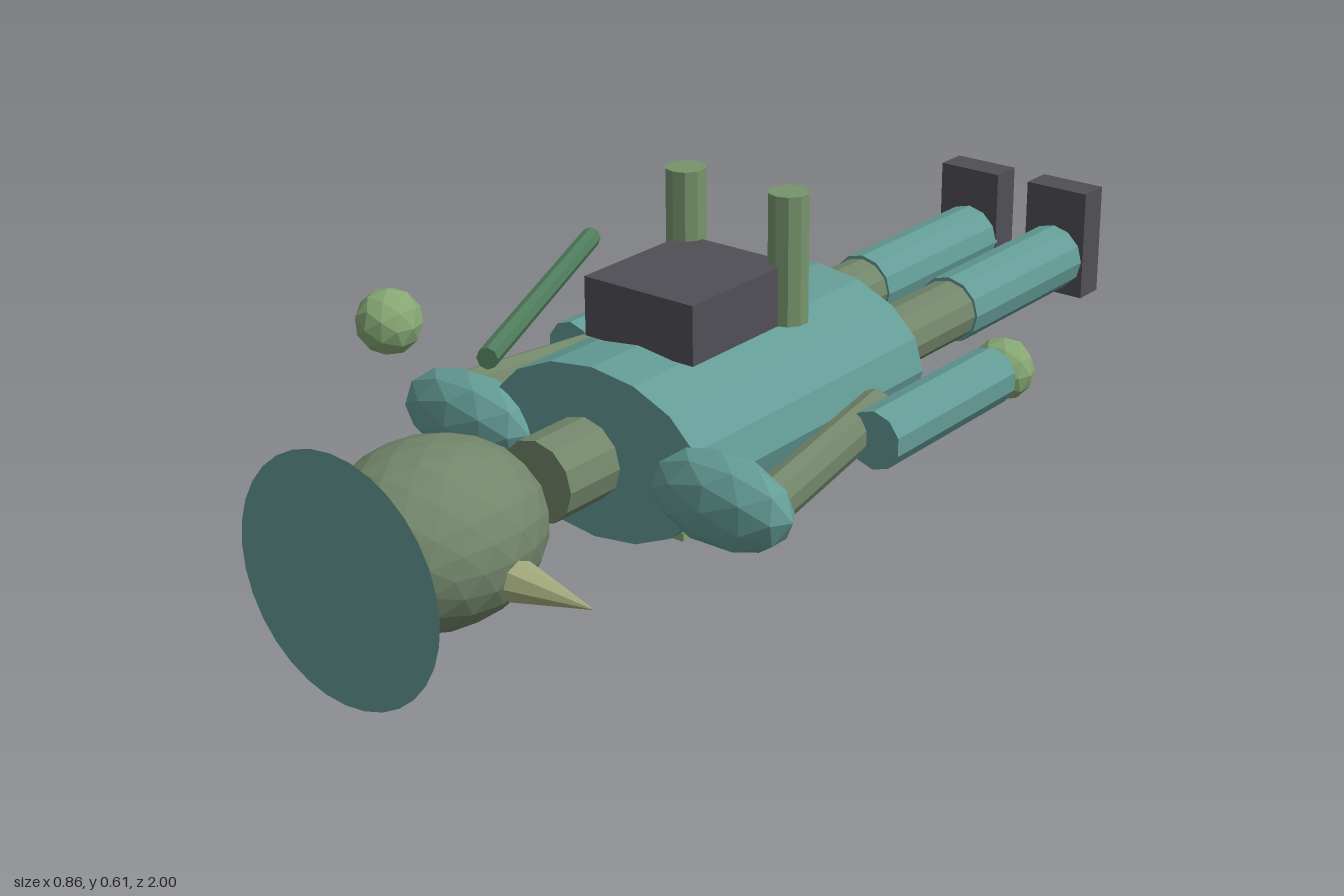
import * as THREE from 'three';

const mat = (color, side = THREE.FrontSide) =>
  new THREE.MeshStandardMaterial({ color, flatShading: true, side });

const TEAL = mat(0x649c96);
const DISC = mat(0x649c96, THREE.DoubleSide);
const SKIN = mat(0x72866a);
const GREEN = mat(0x86a874);
const PIPE = mat(0x76946c);
const STAFF = mat(0x4f7c5c);
const HORN = mat(0xa3aa7c);
const DARK = mat(0x504f56);

export function createModel() {
  const model = new THREE.Group();
  model.name = 'lyingFigure';

  const add = (name, geometry, material, x, y, z) => {
    const mesh = new THREE.Mesh(geometry, material);
    mesh.name = name;
    mesh.position.set(x, y, z);
    model.add(mesh);
    return mesh;
  };

  const box = (name, m, w, h, d, x, y, z) =>
    add(name, new THREE.BoxGeometry(w, h, d), m, x, y, z);

  // Faceted ball with separate radii
  const ball = (name, m, detail, rx, ry, rz, x, y, z) =>
    add(name, new THREE.IcosahedronGeometry(1, detail).scale(rx, ry, rz), m, x, y, z);

  // Cylinder between two points in a horizontal plane, with a flattened section
  const rod = (name, m, rx, ry, sides, [x0, z0], [x1, z1], y) => {
    const length = Math.hypot(x1 - x0, z1 - z0);
    const g = new THREE.CylinderGeometry(1, 1, length, sides)
      .rotateX(Math.PI / 2)
      .scale(rx, ry, 1);
    const mesh = add(name, g, m, (x0 + x1) / 2, y, (z0 + z1) / 2);
    mesh.rotation.y = Math.atan2(x1 - x0, z1 - z0);
    return mesh;
  };

  // Body, neck and head
  rod('torso', TEAL, 0.24, 0.158, 16, [0, -0.25], [0, 0.4], 0.222);
  rod('neck', SKIN, 0.077, 0.075, 12, [0, 0.42], [0, 0.545], 0.22);
  ball('head', SKIN, 3, 0.175, 0.154, 0.2, 0, 0.222, 0.79);
  add('headDisc', new THREE.CircleGeometry(0.216, 32), DISC, 0, 0.218, 0.999);

  // Pack on the upper side, plate floating below
  box('pack', DARK, 0.24, 0.11, 0.276, 0, 0.425, 0.138);
  box('plate', GREEN, 0.17, 0.016, 0.135, 0, 0.033, 0.195);

  // Paired parts
  for (const [side, s] of [['left', 1], ['right', -1]]) {
    const horn = add(side + 'Horn', new THREE.ConeGeometry(0.036, 0.155, 8), HORN, s * 0.275, 0.202, 0.805);
    horn.rotation.z = -s * Math.PI / 2;

    add(side + 'Pipe', new THREE.CylinderGeometry(0.038, 0.038, 0.24, 10), PIPE, s * 0.115, 0.49, 0);

    ball(side + 'Shoulder', TEAL, 1, 0.145, 0.086, 0.063, s * 0.285, 0.218, 0.407);
    rod(side + 'UpperArm', SKIN, 0.035, 0.045, 10, [s * 0.277, -0.045], [s * 0.362, 0.39], 0.22);
    rod(side + 'Forearm', TEAL, 0.055, 0.055, 10, [s * 0.346, -0.315], [s * 0.346, 0.062], 0.22);
    ball(side + 'Hand', GREEN, 1, 0.06, 0.06, 0.054, s * 0.346, 0.219, -0.358);

    rod(side + 'Thigh', SKIN, 0.063, 0.06, 12, [s * 0.103, -0.545], [s * 0.103, -0.24], 0.222);
    rod(side + 'Shin', TEAL, 0.068, 0.067, 12, [s * 0.103, -0.94], [s * 0.103, -0.542], 0.222);
    box(side + 'Foot', DARK, 0.138, 0.225, 0.065, s * 0.105, 0.257, -0.967);
  }

  // Staff and its loose orb
  rod('staff', STAFF, 0.019, 0.02, 8, [-0.375, -0.035], [-0.113, 0.533], 0.41);
  ball('orb', GREEN, 1, 0.06, 0.06, 0.06, -0.365, 0.41, 0.51);

  return model;
}
